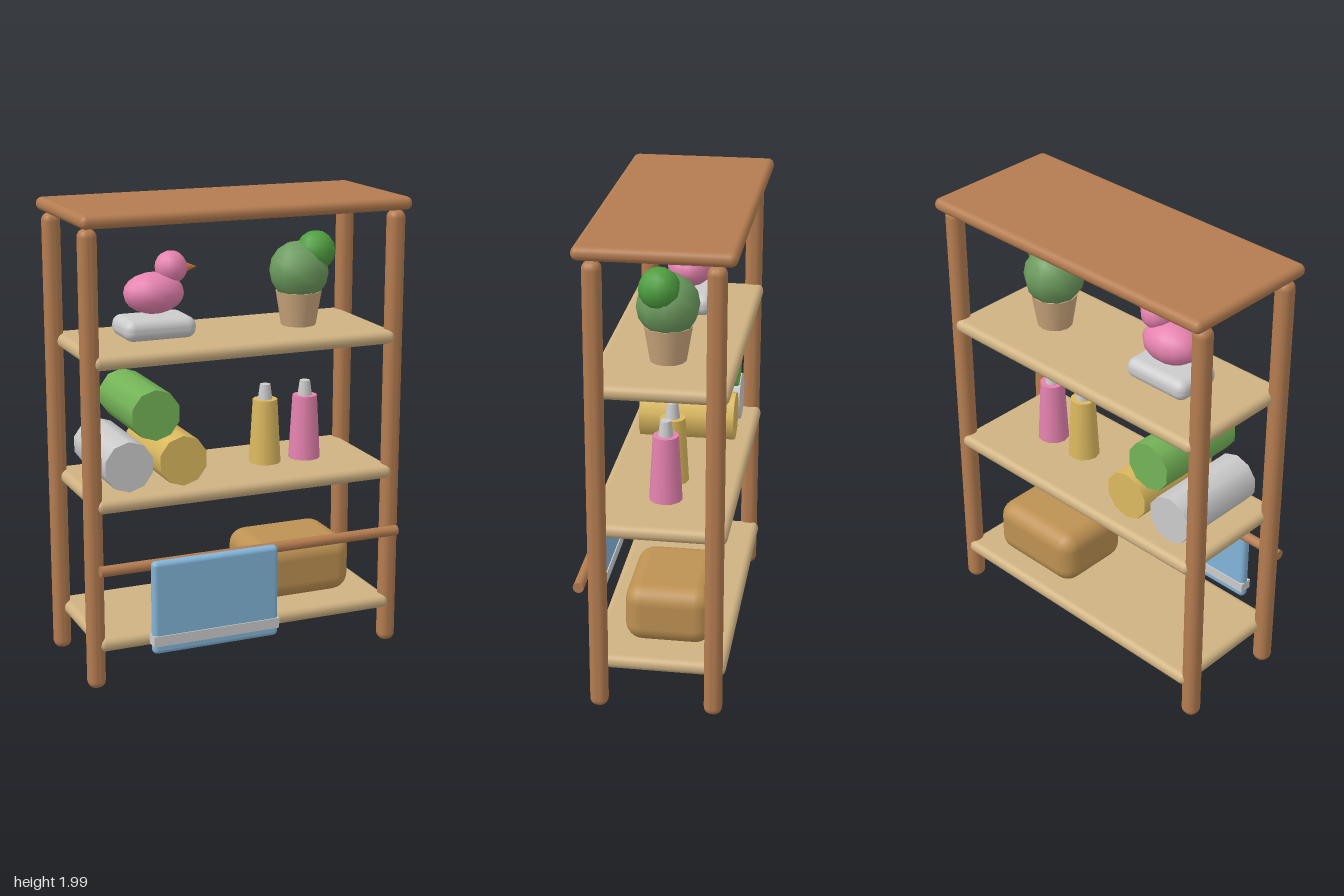
import * as THREE from 'three';
import { RoundedBoxGeometry } from 'three/addons/geometries/RoundedBoxGeometry.js';

const MID = -0.035; // depth centre of the rack

export function createModel() {
  const model = new THREE.Group();
  model.name = 'storageRack';

  const mat = (color) => new THREE.MeshStandardMaterial({ color });
  const grey = mat(0xcccccc), wood = mat(0xb47c50), board = mat(0xcfb282), towelBlue = mat(0x82b4d8);
  const tan = mat(0xbd9152), pink = mat(0xe582ae), yellow = mat(0xdcb95f), green = mat(0x74b357);
  const leaf = mat(0x6c9a5e), sprout = mat(0x4f9e3f), clay = mat(0xcaa67c), orange = mat(0xd97f35);

  const add = (name, geometry, material, x, y, z, parent = model) => {
    const mesh = new THREE.Mesh(geometry, material);
    mesh.name = name;
    mesh.position.set(x, y, z);
    parent.add(mesh);
    return mesh;
  };
  const rounded = (w, h, d, r) => new RoundedBoxGeometry(w, h, d, 3, r);
  const group = (name) => {
    const g = new THREE.Group();
    g.name = name;
    model.add(g);
    return g;
  };

  // Frame: four posts, top board, three shelves
  for (const x of [-0.682, 0.682])
    for (const z of [0.205, -0.272]) add('post', rounded(0.076, 1.935, 0.076, 0.033), wood, x, 0.973, z);
  add('topBoard', rounded(1.454, 0.056, 0.63, 0.027), wood, 0, 1.972, MID);
  for (const y of [0.198, 0.8, 1.4]) add('shelf', rounded(1.356, 0.06, 0.57, 0.029), board, 0, y, MID);

  // Towel rail with hanging towel and its band
  add('towelRail', new THREE.CylinderGeometry(0.023, 0.023, 1.364, 12), wood, 0, 0.545, 0.285).rotation.z = Math.PI / 2;
  add('towel', rounded(0.565, 0.405, 0.046, 0.02), towelBlue, -0.192, 0.37, 0.325);
  add('towelBand', new THREE.BoxGeometry(0.567, 0.045, 0.056), grey, -0.192, 0.228, 0.325);

  // Basket on the bottom shelf
  add('basket', rounded(0.465, 0.255, 0.37, 0.075), tan, 0.32, 0.352, -0.06);

  // Stacked towel rolls
  for (const [x, y, m] of [[-0.51, 0.94, grey], [-0.27, 0.94, yellow], [-0.39, 1.148, green]])
    add('towelRoll', new THREE.CylinderGeometry(0.108, 0.108, 0.42, 10), m, x, y, MID).rotation.x = Math.PI / 2;

  // Bottles with tapered caps
  for (const [x, m] of [[0.19, yellow], [0.38, pink]]) {
    const bottle = group('bottle');
    add('bottleBody', new THREE.CylinderGeometry(0.054, 0.07, 0.285, 12), m, x, 0.9705, -0.03, bottle);
    add('bottleCap', new THREE.CylinderGeometry(0.023, 0.032, 0.067, 10), grey, x, 1.145, -0.03, bottle);
  }

  // Toy bird on a soap dish
  add('soapDish', rounded(0.315, 0.09, 0.22, 0.04), grey, -0.318, 1.478, MID);
  const bird = group('toyBird');
  add('birdBody', new THREE.SphereGeometry(1, 14, 10), pink, -0.318, 1.617, MID, bird).scale.set(0.132, 0.087, 0.1);
  add('birdHead', new THREE.SphereGeometry(0.069, 12, 10), pink, -0.24, 1.72, MID, bird);
  add('birdBeak', new THREE.ConeGeometry(0.025, 0.06, 8), orange, -0.155, 1.715, MID, bird).rotation.z = -Math.PI / 2;

  // Potted plant
  const plant = group('pottedPlant');
  add('pot', new THREE.CylinderGeometry(0.1, 0.075, 0.15, 12), clay, 0.347, 1.503, MID, plant);
  add('foliage', new THREE.SphereGeometry(0.13, 10, 8), leaf, 0.347, 1.663, MID, plant);
  add('smallFoliage', new THREE.SphereGeometry(0.085, 10, 8), sprout, 0.415, 1.752, -0.01, plant);

  return model;
}
